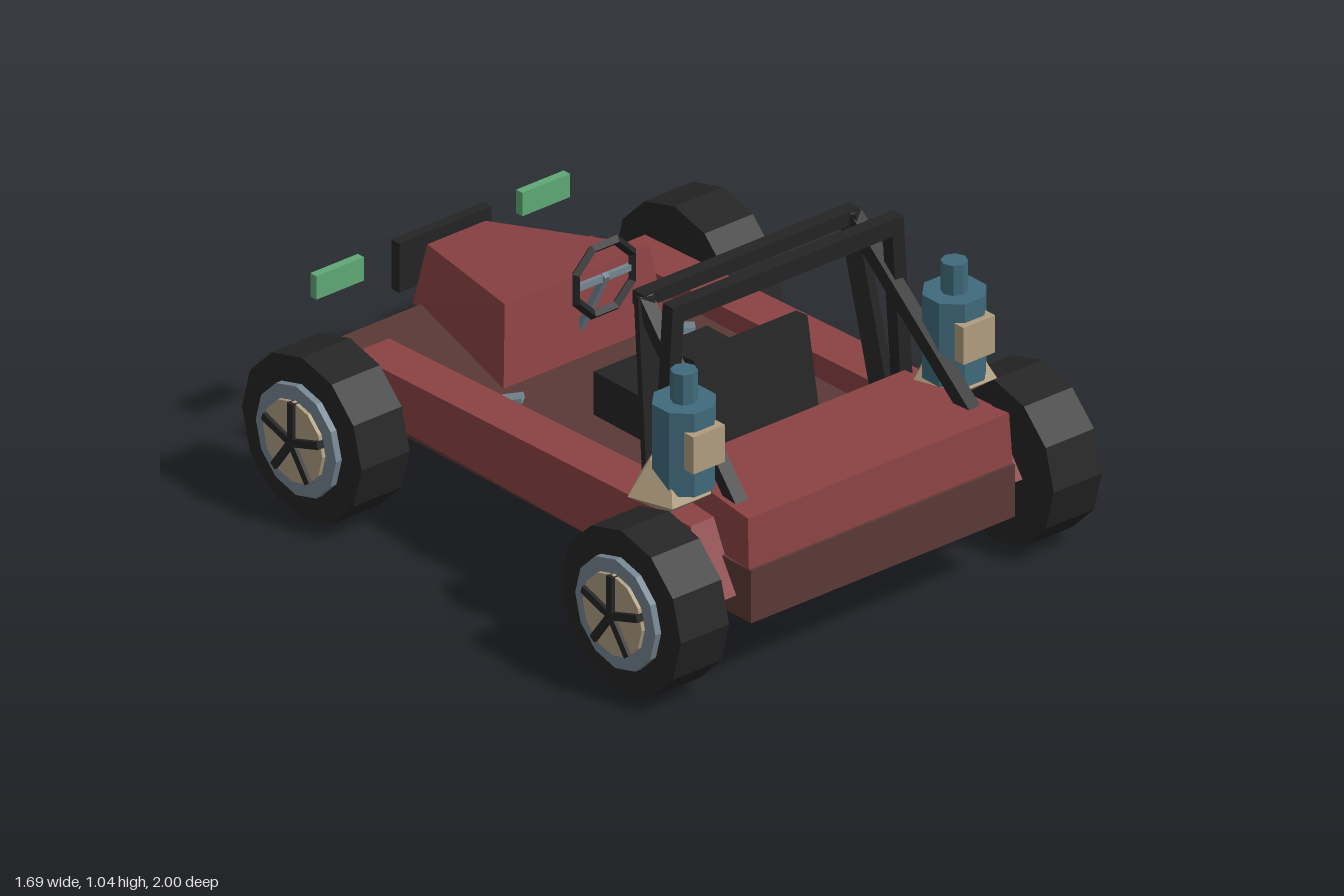
import * as THREE from 'three';
import { ConvexGeometry } from 'three/addons/geometries/ConvexGeometry.js';

const mat = (name, color) => {
  const m = new THREE.MeshStandardMaterial({ color, flatShading: true });
  m.name = name;
  return m;
};

export function createModel() {
  const red = mat('red paint', 0x8c4244), brown = mat('brown chassis', 0x5b3936);
  const black = mat('black', 0x242424), grey = mat('blue grey metal', 0x748590);
  const beige = mat('beige', 0xb09d80), teal = mat('teal', 0x3f6a7b), green = mat('green lamp', 0x5fa876);
  const model = new THREE.Group();
  model.name = 'buggy';

  const add = (name, geo, material, pos = [0, 0, 0], parent = model) => {
    const m = new THREE.Mesh(geo, material);
    m.name = name;
    m.position.set(...pos);
    parent.add(m);
    return m;
  };
  // box given by its limits on each axis
  const box = (name, material, [x0, x1], [y0, y1], [z0, z1], parent) =>
    add(name, new THREE.BoxGeometry(x1 - x0, y1 - y0, z1 - z0), material,
      [(x0 + x1) / 2, (y0 + y1) / 2, (z0 + z1) / 2], parent);
  // solid with flat faces from its corner points
  const solid = (name, material, pts) =>
    add(name, new ConvexGeometry(pts.map(p => new THREE.Vector3(...p))), material);
  // square bar between two points
  const bar = (name, material, a, b, w, h = w) => {
    const A = new THREE.Vector3(...a), B = new THREE.Vector3(...b);
    const m = add(name, new THREE.BoxGeometry(w, h, A.distanceTo(B)), material);
    m.position.copy(A).add(B).multiplyScalar(0.5);
    m.lookAt(B);
    return m;
  };
  const both = pts => pts.flatMap(([x, y, z]) => [[x, y, z], [-x, y, z]]);

  // Body
  box('chassis', brown, [-0.5, 0.5], [0.21, 0.38], [-0.89, 0.965]);
  solid('rearDeck', red, both([
    [0.46, 0.38, 0.53], [0.44, 0.54, 0.55], [0.5, 0.38, 0.955], [0.495, 0.54, 0.945]]));
  solid('hood', red, both([
    [0.31, 0.36, -0.34], [0.275, 0.63, -0.375], [0.135, 0.36, -0.94], [0.11, 0.555, -0.905]]));

  // Grille and its slats
  box('grille', black, [-0.175, 0.175], [0.4, 0.56], [-0.988, -0.953]);
  for (let i = -2; i <= 2; i++)
    box('grilleSlat', grey, [i * 0.063 - 0.011, i * 0.063 + 0.011], [0.41, 0.55], [-1, -0.985]);

  // Seat, with a backrest leaning forward
  box('seatCushion', black, [-0.215, 0.215], [0.37, 0.52], [-0.055, 0.4]);
  solid('seatBack', black, both([
    [0.215, 0.45, 0.37], [0.215, 0.45, 0.435], [0.215, 0.725, 0.335], [0.215, 0.73, 0.385]]));
  solid('seatPad', red, both([
    [0.165, 0.51, 0.34], [0.165, 0.51, 0.37], [0.165, 0.7, 0.312], [0.165, 0.7, 0.345]]));

  // Steering
  const wheelRing = add('steeringWheel', new THREE.TorusGeometry(0.115, 0.016, 4, 8), black, [0, 0.67, -0.257]);
  wheelRing.rotation.z = Math.PI / 8;
  bar('steeringColumn', grey, [0, 0.68, -0.25], [0, 0.45, -0.37], 0.02);
  box('steeringSpoke', grey, [-0.11, 0.11], [0.66, 0.68], [-0.265, -0.25]);

  for (const s of [-1, 1]) {
    // Side rail with sloping ends
    solid('sideRail', red, [
      [0.425, 0.275, -0.83], [0.56, 0.275, -0.83], [0.415, 0.43, -0.72], [0.555, 0.43, -0.72],
      [0.425, 0.275, 0.9], [0.585, 0.275, 0.9], [0.415, 0.475, 0.78], [0.57, 0.475, 0.78],
    ].map(([x, y, z]) => [s * x, y, z]));

    box('headlight', green, s > 0 ? [0.3, 0.48] : [-0.48, -0.3], [0.48, 0.556], [-0.99, -0.963]);
    bar('suspensionArm', grey, [s * 0.31, 0.375, -0.25], [s * 0.66, 0.25, -0.67], 0.045);

    // Roll cage posts and struts
    bar('rearHoopPost', black, [s * 0.452, 0.46, 0.527], [s * 0.415, 1.035, 0.527], 0.045);
    bar('frontHoopPost', black, [s * 0.435, 0.44, 0.46], [s * 0.39, 1.0, 0.37], 0.05, 0.055);
    bar('cageStrut', black, [s * 0.395, 0.99, 0.37], [s * 0.44, 0.52, 0.845], 0.045);

    // Upright canister on a faceted foot
    const can = new THREE.Group();
    can.name = 'canister';
    can.position.set(s * 0.512, 0, 0.685);
    model.add(can);
    const body = add('canisterBody', new THREE.CylinderGeometry(0.097, 0.097, 0.27, 8), teal, [0, 0.695, 0], can);
    body.rotation.y = Math.PI / 8;
    add('canisterNeck', new THREE.CylinderGeometry(0.04, 0.04, 0.1, 8), teal, [0, 0.877, 0], can);
    box('canisterPanel', beige, [-0.06, 0.06], [0.65, 0.77], [0.07, 0.11], can);
    const profile = [[0, 0.48], [0.05, 0.485], [0.128, 0.535], [0.06, 0.64], [0, 0.64]];
    const foot = add('canisterFoot',
      new THREE.LatheGeometry(profile.map(p => new THREE.Vector2(...p)), 5), beige, [s * 0.028, 0, -0.035], can);
    foot.rotation.y = Math.PI;

    // Wheels
    for (const z of [-0.66, 0.74]) {
      const wheel = new THREE.Group();
      wheel.name = z < 0 ? 'frontWheel' : 'rearWheel';
      wheel.position.set(s * 0.708, 0.262, z);
      wheel.rotation.y = s > 0 ? 0 : Math.PI;
      model.add(wheel);
      // discs stacked outward along the axle: radius, inner and outer x
      const discs = [['tyre', black, 0.262, -0.093, 0.09], ['rim', grey, 0.176, 0.08, 0.112],
        ['hubDisc', beige, 0.13, 0.1, 0.124]];
      for (const [name, m, r, x0, x1] of discs) {
        const d = add(name, new THREE.CylinderGeometry(r, r, x1 - x0, 12), m, [(x0 + x1) / 2, 0, 0], wheel);
        d.rotation.z = -Math.PI / 2;
      }
      for (let i = 0; i < 5; i++) {
        const a = i * Math.PI * 2 / 5;
        const spoke = add('spoke', new THREE.BoxGeometry(0.024, 0.128, 0.024), black,
          [0.124, Math.cos(a) * 0.064, Math.sin(a) * 0.064], wheel);
        spoke.rotation.x = a;
      }
    }
  }

  // Roll cage cross bars
  box('rearHoopTop', black, [-0.437, 0.437], [0.988, 1.043], [0.505, 0.55]);
  box('frontHoopTop', black, [-0.41, 0.41], [0.968, 1.012], [0.342, 0.388]);

  return model;
}
